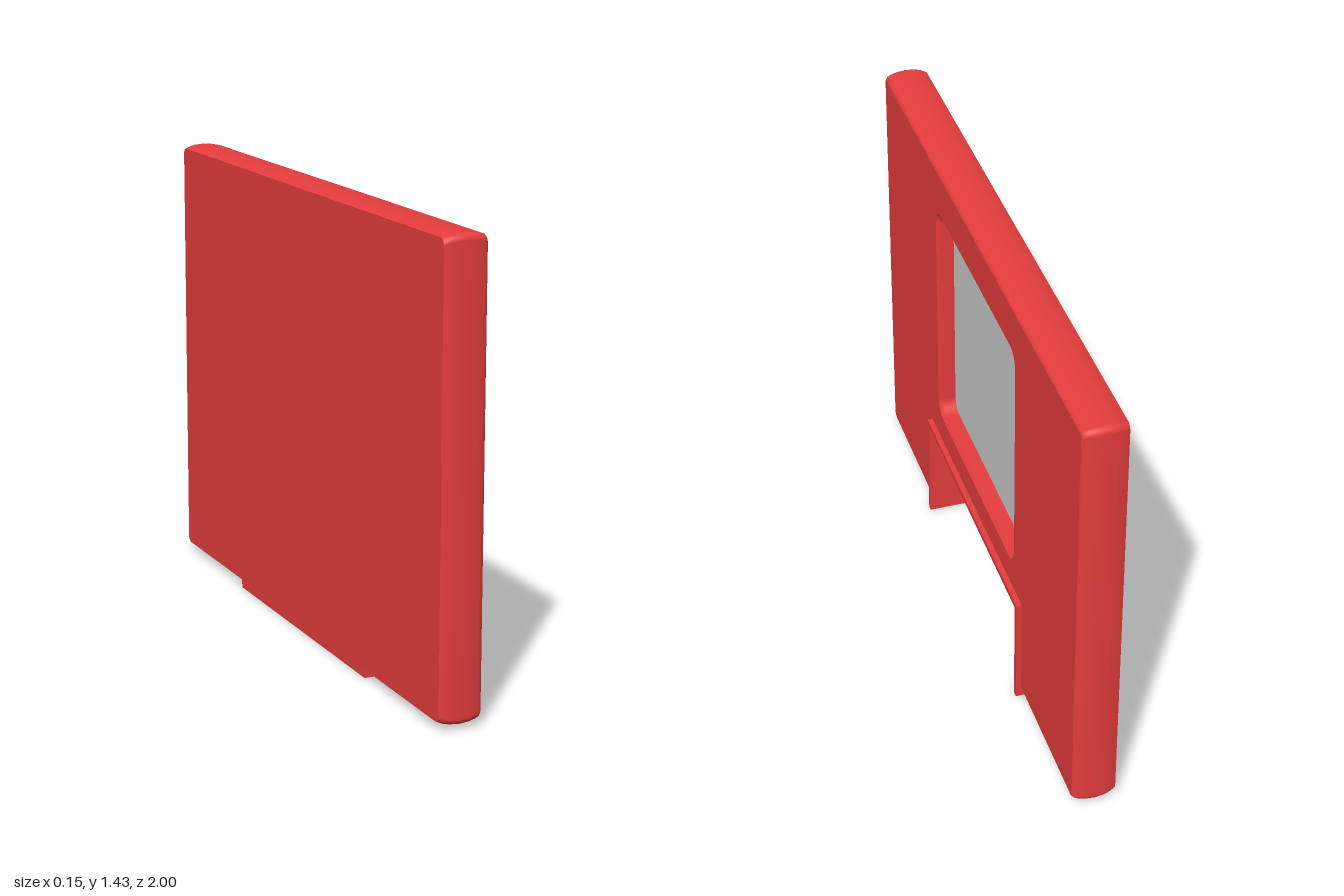
import * as THREE from 'three';

const BACK = -0.077, FRONT = 0.06, LIP = 0.077;   // depths along x
const NICHE_W = 0.49, NICHE_H = 0.38, WALL = 0.02;

// Counter-clockwise corner arc of an outline
const corner = (x, y, r, from, n = 6) => Array.from({ length: n + 1 }, (_, i) => {
  const a = from + (i / n) * Math.PI / 2;
  return new THREE.Vector2(x + r * Math.cos(a), y + r * Math.sin(a));
});

// Slab outline, open at the bottom where the niche sits
function slabOutline(inset) {
  const r = 0.02, w = 1 - inset - r, y0 = 0.015 + inset, y1 = 1.434 - inset;
  return [
    new THREE.Vector2(NICHE_W, y0),
    ...corner(w, y0 + r, r, -Math.PI / 2),
    ...corner(w, y1 - r, r, 0),
    ...corner(-w, y1 - r, r, Math.PI / 2),
    ...corner(-w, y0 + r, r, Math.PI),
    new THREE.Vector2(-NICHE_W, y0),
  ];
}

// Closed, rounded window outline
function windowOutline(inset) {
  const r = 0.055 - inset, w = 0.408 - inset - r, y0 = 0.472 + inset + r, y1 = 1.275 - inset - r;
  const pts = [
    ...corner(w, y0, r, -Math.PI / 2),
    ...corner(w, y1, r, 0),
    ...corner(-w, y1, r, Math.PI / 2),
    ...corner(-w, y0, r, Math.PI),
  ];
  return [...pts, pts[0].clone()];
}

// Band swept along an outline; profile is a list of [depth, inset]
function band(outline, profile) {
  const pos = [], index = [];
  const n = outline(0).length;
  profile.forEach(([depth, inset], j) => {
    outline(inset).forEach((p, i) => {
      pos.push(depth, p.y, -p.x);
      if (j > 0 && i > 0) {
        const c = j * n + i - 1, d = c + 1, a = c - n, b = d - n;
        index.push(a, b, c, b, d, c);
      }
    });
  });
  const g = new THREE.BufferGeometry();
  g.setAttribute('position', new THREE.Float32BufferAttribute(pos, 3));
  g.setIndex(index);
  g.computeVertexNormals();
  return g;
}

// Flat slab face with the niche notched out
function faceShape(inset) {
  return new THREE.Shape([
    ...slabOutline(inset),
    new THREE.Vector2(-NICHE_W, NICHE_H),
    new THREE.Vector2(NICHE_W, NICHE_H),
  ]);
}

export function createModel() {
  const group = new THREE.Group();
  const red = new THREE.MeshStandardMaterial({ color: 0xe53d3d, side: THREE.DoubleSide });
  const grey = new THREE.MeshStandardMaterial({ color: 0xcccccc, side: THREE.DoubleSide });
  const add = (name, geometry, material = red) => {
    const mesh = new THREE.Mesh(geometry, material);
    mesh.name = name;
    group.add(mesh);
  };

  // Slab: bulged rim, front face with window opening, plain back face
  add('slabRim', band(slabOutline, [
    [BACK, 0.012], [-0.06, 0.006], [-0.04, 0.002], [-0.01, 0], [0.02, 0.002],
    [0.042, 0.006], [0.052, 0.009], [0.058, 0.014], [FRONT, 0.02],
  ]));
  const front = faceShape(0.02);
  front.holes.push(new THREE.Path(windowOutline(0).slice(0, -1).reverse()));
  add('frontFace', new THREE.ShapeGeometry(front).rotateY(Math.PI / 2).translate(FRONT, 0, 0));
  add('backFace', new THREE.ShapeGeometry(faceShape(0.012)).rotateY(-Math.PI / 2).translate(BACK, 0, 0));

  // Window: chamfer, straight reveal and recessed pane
  add('windowChamfer', band(windowOutline, [[FRONT, 0], [0.05, 0.01]]));
  add('windowReveal', band(windowOutline, [[0.05, 0.01], [0.005, 0.01]]));
  const pane = new THREE.Shape(windowOutline(0.01).slice(0, -1));
  add('windowPane', new THREE.ShapeGeometry(pane).rotateY(Math.PI / 2).translate(0.005, 0, 0), grey);

  // Niche: three-sided frame standing proud of the face, closed by a back plate
  const w = NICHE_W, v = NICHE_W - WALL, h = NICHE_H;
  const frame = new THREE.Shape([
    [v, 0], [w, 0], [w, h], [-w, h], [-w, 0], [-v, 0], [-v, h - WALL], [v, h - WALL],
  ].map(([x, y]) => new THREE.Vector2(x, y)));
  add('nicheFrame', new THREE.ExtrudeGeometry(frame, { depth: LIP - BACK, bevelEnabled: false })
    .rotateY(Math.PI / 2).translate(BACK, 0, 0));
  add('nicheBack', new THREE.BoxGeometry(0.005, h - WALL, 2 * v)
    .translate(BACK + 0.0025, (h - WALL) / 2, 0));

  return group;
}
